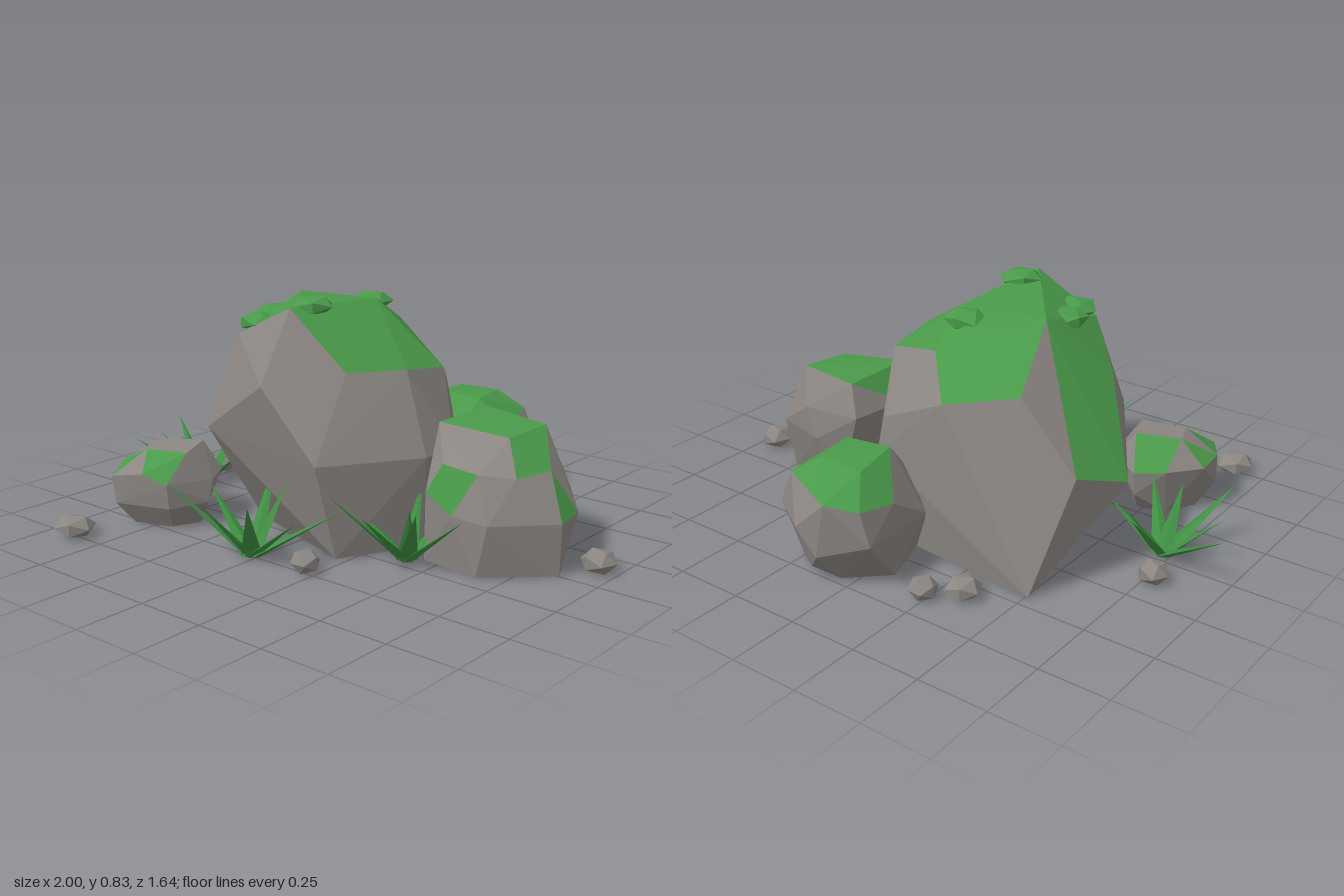
import * as THREE from 'three';
import { ConvexGeometry } from 'three/addons/geometries/ConvexGeometry.js';

const mat = (name, color) => Object.assign(new THREE.MeshStandardMaterial({ color, flatShading: true }), { name });
const stone = mat('stone grey', 0x8b8682);
const moss = mat('moss green', 0x4a9a4a);
const grass = mat('grass green', 0x3f8f42);

// Corner points: x, y, z, and a mask of the moss patches the corner belongs to.
const MAIN = [
  // crown
  [-.02, .81, .30, 1], [-.31, .79, -.08, 3], [0, .79, -.13, 1], [-.1, .765, -.24, 1], [-.28, .69, .28, 1],
  // shoulder
  [-.46, .59, .10, 3], [-.4, .63, -.35, 1], [-.15, .57, -.43, 1], [-.03, .69, -.31, 1], [.1, .46, -.425, 0],
  [.29, .58, -.14, 1], [.3, .61, .08, 1], [.18, .61, .25, 1], [-.02, .57, .445, 0],
  // belt
  [-.67, .33, -.13, 2], [-.6, .40, -.33, 2], [.12, .33, -.44, 0], [.41, .33, -.05, 0],
  [.4, .33, .1, 0], [.19, .33, .42, 0], [-.36, .36, .36, 0],
  // foot
  [-.29, 0, .17, 0], [.21, 0, .34, 0], [.36, 0, .06, 0], [.33, 0, -.1, 0], [.11, 0, -.4, 0], [-.51, 0, -.455, 0],
];
const RIGHT = [
  [.4, .44, -.25, 1], [.4, .44, .03, 1], [.67, .43, -.2, 1], [.65, .42, -.01, 1],
  [.775, .32, -.07, 3], [.74, .32, .08, 1], [.6, .31, -.28, 0], [.5, .34, .145, 5], [.64, .33, .15, 4],
  [.32, .33, -.06, 1], [.35, .33, -.29, 0],
  [.87, .18, .01, 2], [.845, .18, -.13, 2], [.7, .18, .18, 0], [.45, .24, .17, 4], [.57, .19, .195, 4],
  [.745, .21, -.25, 0], [.55, .2, -.29, 0],
  [.86, 0, 0, 0], [.75, 0, -.2, 0], [.48, 0, -.24, 0], [.66, 0, .18, 0], [.44, 0, .16, 0],
];
const BACK = [
  [.03, .39, -.48, 1], [.2, .385, -.5, 1], [.17, .385, -.66, 1], [0, .38, -.66, 1],
  [.02, .32, -.82, 1], [.14, .21, -.825, 0], [.27, .32, -.7, 1], [.31, .28, -.5, 1], [.18, .28, -.39, 1],
  [0, .28, -.41, 1], [-.1, .28, -.62, 1], [-.08, .3, -.76, 1],
  [.345, .18, -.68, 0], [.345, .17, -.48, 0], [.18, .18, -.34, 0], [-.1, .18, -.46, 0], [-.11, .18, -.75, 0], [.06, .12, -.82, 0],
  [.12, .05, -.78, 0], [0, 0, -.36, 0], [.2, 0, -.35, 0], [.28, 0, -.5, 0], [.25, 0, -.68, 0], [.05, 0, -.72, 0], [-.08, 0, -.6, 0],
];
const SMALL = [
  [-.6, .275, .36, 9], [-.45, .28, .3, 1], [-.4, .27, .43, 4], [-.56, .265, .47, 6],
  [-.695, .2, .46, 10], [-.62, .18, .585, 2], [-.5, .2, .55, 4], [-.41, .17, .52, 4], [-.345, .17, .36, 0],
  [-.39, .18, .27, 0], [-.5, .17, .21, 1], [-.6, .18, .26, 1], [-.69, .18, .37, 8],
  [-.7, .1, .45, 0], [-.61, .08, .58, 0], [-.41, .08, .51, 0], [-.345, .09, .38, 0], [-.5, .08, .22, 0],
  [-.64, 0, .42, 0], [-.58, 0, .52, 0], [-.44, 0, .47, 0], [-.4, 0, .37, 0], [-.48, 0, .28, 0], [-.58, 0, .31, 0],
];

// Faceted boulder: a face is mossy when its three corners share a patch.
function boulder(name, points) {
  const key = (x, y, z) => [x, y, z].map(v => Math.round(v * 1000)).join();
  const masks = new Map(points.map(([x, y, z, m]) => [key(x, y, z), m]));
  const p = new ConvexGeometry(points.map(([x, y, z]) => new THREE.Vector3(x, y, z))).attributes.position;
  const sets = [[], []];
  for (let i = 0; i < p.count; i += 3) {
    let shared = 15;
    const face = [];
    for (let k = i; k < i + 3; k++) {
      shared &= masks.get(key(p.getX(k), p.getY(k), p.getZ(k))) ?? 0;
      face.push(p.getX(k), p.getY(k), p.getZ(k));
    }
    sets[shared ? 1 : 0].push(...face);
  }
  const group = new THREE.Group();
  group.name = name;
  sets.forEach((data, i) => {
    const g = new THREE.BufferGeometry();
    g.setAttribute('position', new THREE.Float32BufferAttribute(data, 3));
    g.computeVertexNormals();
    const mesh = new THREE.Mesh(g, i ? moss : stone);
    mesh.name = name + (i ? 'Moss' : 'Stone');
    group.add(mesh);
  });
  return group;
}

// Squashed faceted lump, used for pebbles and moss clumps.
function lump(name, material, x, y, z, r, h, turn) {
  const mesh = new THREE.Mesh(new THREE.IcosahedronGeometry(1, 0), material);
  mesh.name = name;
  mesh.position.set(x, y, z);
  mesh.scale.set(r, h, r);
  mesh.rotation.y = turn;
  return mesh;
}

// Tuft of flat tapering blades, each given by its tip relative to the root.
function tuft(name, x, z, tips) {
  const group = new THREE.Group();
  group.name = name;
  group.position.set(x, 0, z);
  const up = new THREE.Vector3(0, 1, 0);
  for (const [tx, ty, tz] of tips) {
    const root = new THREE.Vector3(tx * 0.06, 0.01, tz * 0.06);
    const dir = new THREE.Vector3(tx, ty, tz).sub(root);
    const len = dir.length();
    dir.normalize();
    const side = new THREE.Vector3().crossVectors(dir, up).normalize();
    const normal = new THREE.Vector3().crossVectors(side, dir);
    const g = new THREE.ConeGeometry(0.036, len, 4).scale(1, 1, 0.35).translate(0, len / 2, 0);
    g.applyMatrix4(new THREE.Matrix4().makeBasis(side, dir, normal).setPosition(root));
    const blade = new THREE.Mesh(g, grass);
    blade.name = 'grassBlade';
    group.add(blade);
  }
  return group;
}

export function createModel() {
  const model = new THREE.Group();
  model.name = 'mossyRocks';
  model.add(boulder('mainBoulder', MAIN), boulder('rightBoulder', RIGHT),
    boulder('backBoulder', BACK), boulder('smallBoulder', SMALL));

  // moss clumps on the crown
  [[-.06, .77, -.18, .078], [-.27, .74, .09, .088], [-.23, .73, .22, .082], [-.02, .805, .19, .08]]
    .forEach(([x, y, z, r], i) => model.add(lump('mossClump', moss, x, y, z, r, .034, i * 1.3)));

  // pebbles around the foot
  [[-.34, -.57, .064], [-.24, -.65, .052], [-.78, -.13, .056], [-.63, .75, .074], [.21, .49, .052], [.935, -.12, .064]]
    .forEach(([x, z, r], i) => model.add(lump('pebble', stone, x, .036, z, r, .042, i * 1.1 + .4)));

  // grass tufts
  model.add(
    tuft('leftGrass', -.72, .04, [[-.28, .2, -.13], [.01, .22, -.21], [.2, .17, -.03], [-.14, .21, .23],
      [.15, .19, .18], [-.2, .18, .04], [0, .22, .12], [.08, .2, -.12]]),
    tuft('frontGrass', -.02, .5, [[-.23, .25, .16], [-.04, .23, .2], [.14, .24, .16], [.31, .2, -.11],
      [.22, .17, .02], [-.24, .19, -.05], [.04, .24, -.14], [-.1, .25, -.22]]),
    tuft('rightGrass', .4, .2, [[.25, .2, .04], [.17, .24, .18], [.02, .22, .26], [-.16, .25, .22],
      [-.18, .17, .06], [.11, .2, -.12], [-.03, .24, -.12], [.07, .21, .08]]),
  );
  return model;
}
